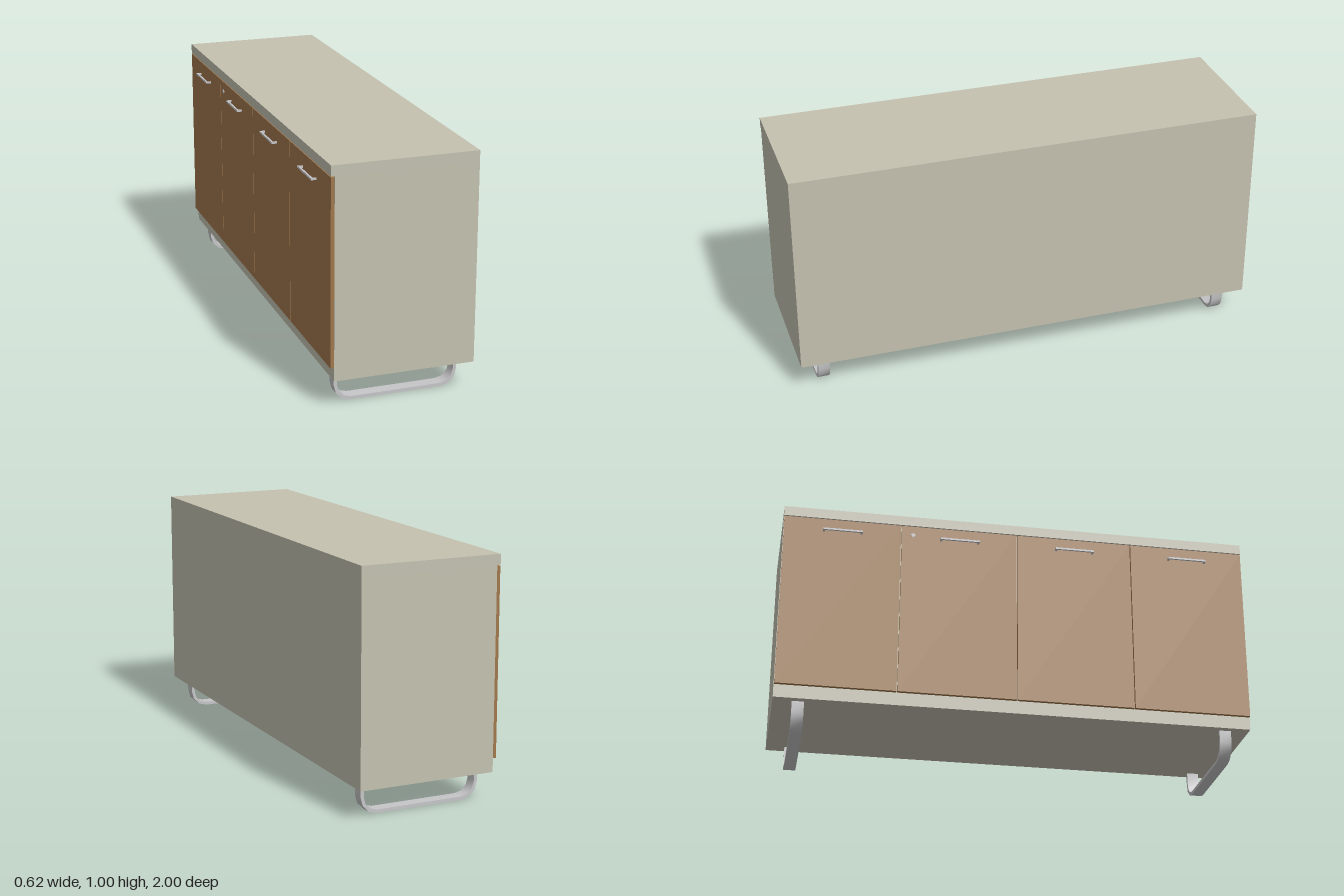
import * as THREE from 'three';
import { toCreasedNormals } from 'three/addons/utils/BufferGeometryUtils.js';

const mat = (name, color) => {
  const m = new THREE.MeshStandardMaterial({ color });
  m.name = name;
  return m;
};

// Box from its minimum and maximum corners
function box(name, material, [x0, y0, z0], [x1, y1, z1]) {
  const mesh = new THREE.Mesh(new THREE.BoxGeometry(x1 - x0, y1 - y0, z1 - z0), material);
  mesh.position.set((x0 + x1) / 2, (y0 + y1) / 2, (z0 + z1) / 2);
  mesh.name = name;
  return mesh;
}

// Points of a U with rounded lower corners, three straight steps per corner
function uPoints(x0, x1, bottom, top, r) {
  const pts = [new THREE.Vector2(x0, top)];
  for (const [cx, start] of [[x0 + r, Math.PI], [x1 - r, Math.PI * 1.5]]) {
    for (let i = 0; i <= 3; i++) {
      const a = start + (i * Math.PI) / 6;
      pts.push(new THREE.Vector2(cx + r * Math.cos(a), bottom + r + r * Math.sin(a)));
    }
  }
  pts.push(new THREE.Vector2(x1, top));
  return pts;
}

export function createModel() {
  const model = new THREE.Group();
  model.name = 'sideboard';
  const paint = mat('greige paint', 0xc4c1b0);
  const wood = mat('brown wood', 0xa0784c);
  const metal = mat('light metal', 0xc6c6c8);

  // Cabinet body and overhanging top
  model.add(box('cabinetBody', paint, [-0.275, 0.125, -1], [0.31, 0.957, 1]));
  model.add(box('cabinetTop', paint, [-0.29, 0.957, -1], [0.31, 1, 1]));

  // Four doors, each with a bracket handle
  for (let i = 0; i < 4; i++) {
    const z = -0.75 + i * 0.5;
    model.add(box('door', wood, [-0.29, 0.181, z - 0.248], [-0.275, 0.953, z + 0.248]));

    const handle = new THREE.Group();
    handle.name = 'doorHandle';
    handle.add(box('handleBar', metal, [-0.312, 0.893, z - 0.084], [-0.304, 0.901, z + 0.084]));
    for (const s of [-1, 1]) {
      const c = z + s * 0.08;
      handle.add(box('handlePost', metal, [-0.304, 0.893, c - 0.004], [-0.29, 0.901, c + 0.004]));
    }
    model.add(handle);
  }

  // Small round lock on the second door
  const lock = new THREE.Mesh(new THREE.CylinderGeometry(0.009, 0.009, 0.003, 16), metal);
  lock.name = 'lock';
  lock.rotation.z = Math.PI / 2;
  lock.position.set(-0.2915, 0.911, -0.45);
  model.add(lock);

  // Bent flat-bar runners
  const shape = new THREE.Shape([
    ...uPoints(-0.25, 0.27, 0.002, 0.125, 0.072),
    ...uPoints(-0.236, 0.256, 0.016, 0.125, 0.058).reverse(),
  ]);
  const legGeometry = toCreasedNormals(
    new THREE.ExtrudeGeometry(shape, { depth: 0.05, bevelEnabled: false }), 0.7);
  for (const s of [-1, 1]) {
    const leg = new THREE.Mesh(legGeometry, metal);
    leg.name = 'runnerLeg';
    leg.position.set(0, -0.002, s * 0.897 - 0.025);
    model.add(leg);
  }

  return model;
}
